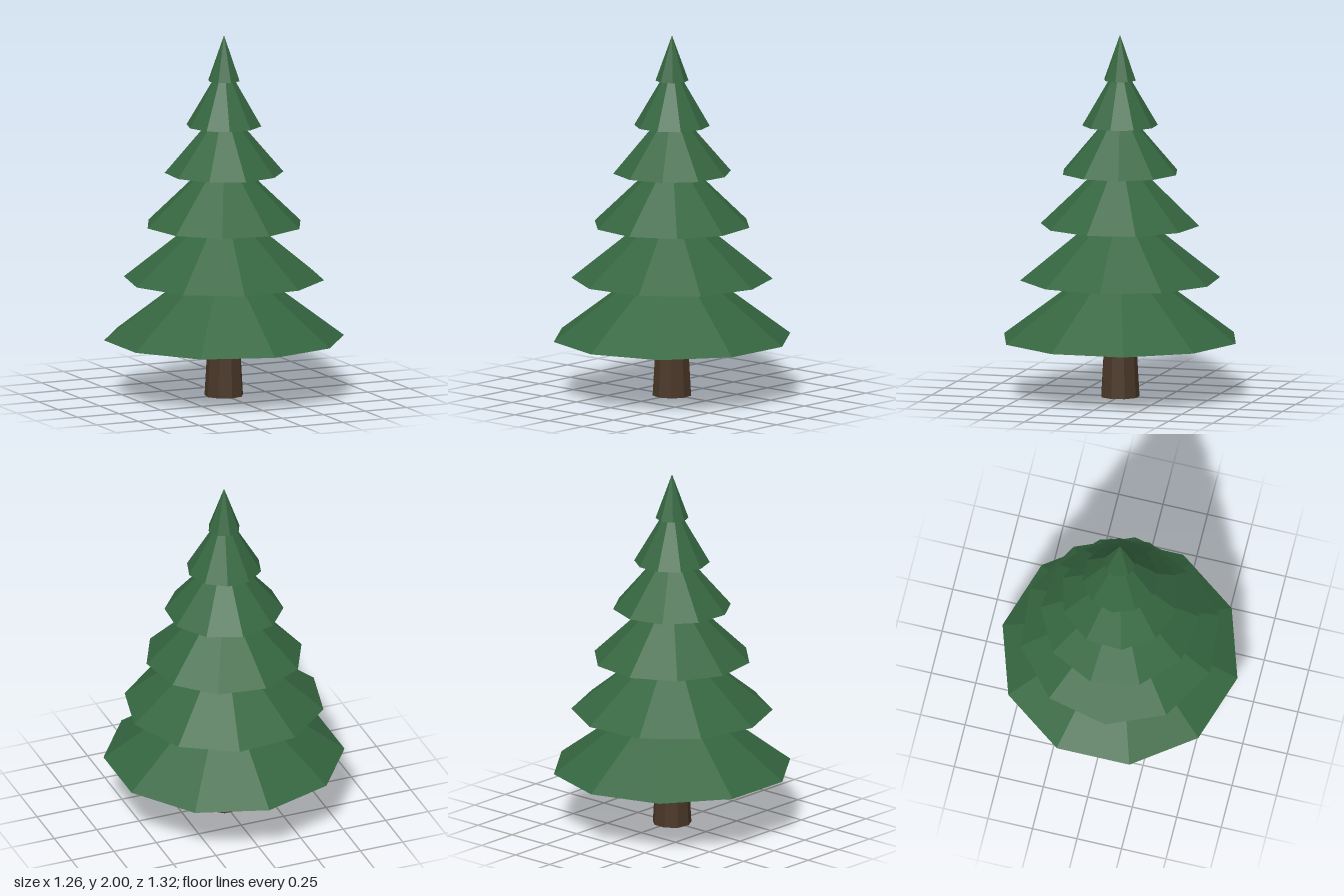
import * as THREE from 'three';

export function createModel() {
  const tree = new THREE.Group();
  tree.name = 'pineTree';
  const bark = new THREE.MeshStandardMaterial({ color: 0x4a3728, flatShading: true });
  const needles = new THREE.MeshStandardMaterial({ color: 0x356640, flatShading: true });

  // Tapered trunk, its top hidden in the lowest tier
  const trunk = new THREE.Mesh(new THREE.CylinderGeometry(0.085, 0.107, 0.38, 9), bark);
  trunk.name = 'trunk';
  trunk.position.y = 0.19;
  tree.add(trunk);

  // Branch tiers, each turned a little further: [base y, radius, height]
  const tiers = [
    [0.32, 0.66, 0.495],
    [0.65, 0.55, 0.44],
    [0.95, 0.436, 0.42],
    [1.24, 0.325, 0.38],
    [1.5, 0.207, 0.355],
  ];
  tiers.forEach(([y, radius, height], i) => {
    const tier = new THREE.Mesh(new THREE.ConeGeometry(radius, height, 10), needles);
    tier.name = `branchTier${i + 1}`;
    tier.position.y = y + height / 2;
    tier.rotation.y = i * 0.4;
    tree.add(tier);
  });

  // Pointed tip
  const tip = new THREE.Mesh(new THREE.ConeGeometry(0.09, 0.25, 8), needles);
  tip.name = 'treeTip';
  tip.position.y = 1.875;
  tree.add(tip);

  return tree;
}
